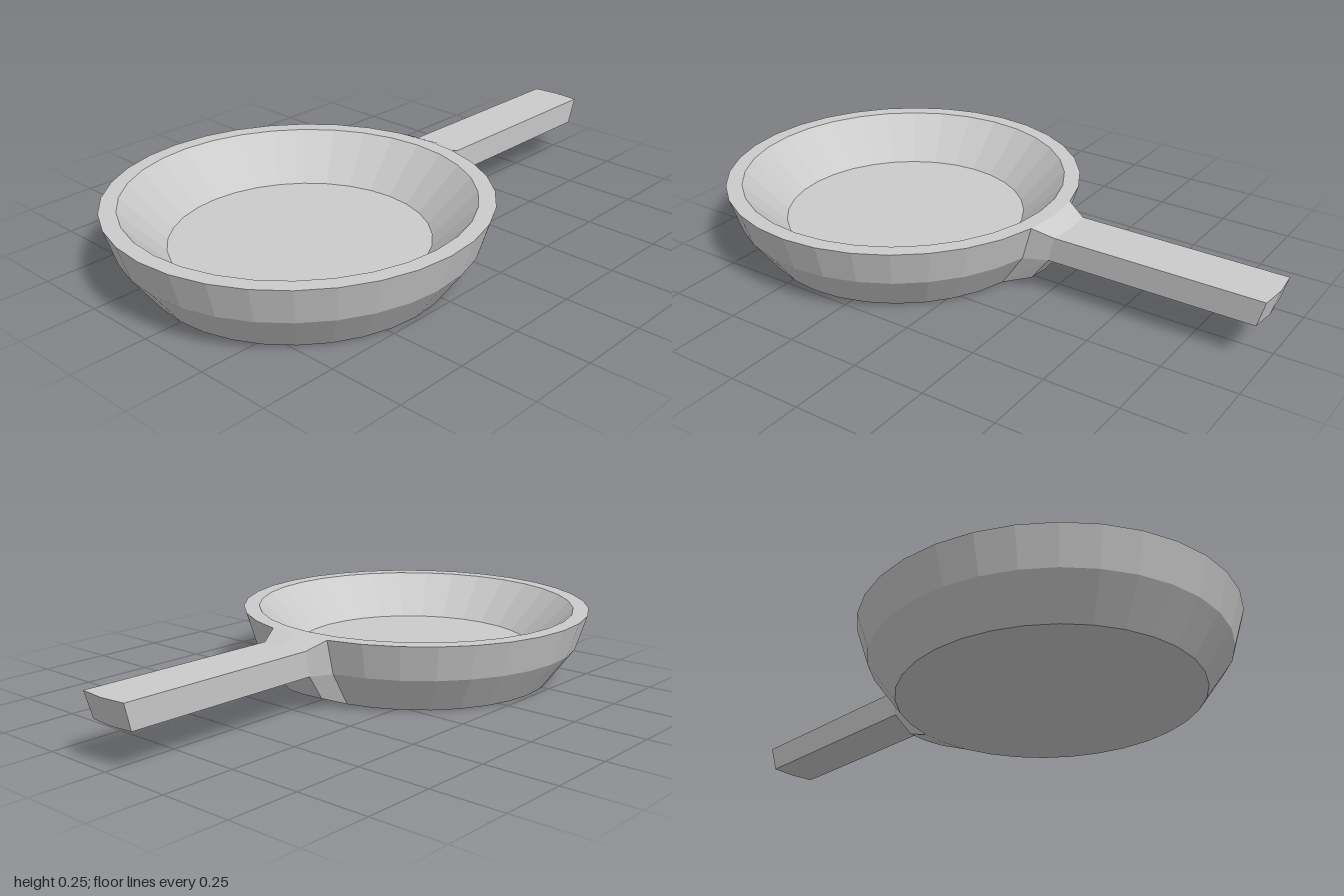
import * as THREE from 'three';

const SIDES = 32;
const CENTRE = -0.388;

// A crosswise row of three points, bowed outwards like the pan's rim.
const row = (x, y, z) => [[x, y, z], [x + z * 0.099, y, 0], [x, y, -z]];

// Closed loop around the rows of one cross-section, from top row to bottom row.
function loop(...rows) {
  const inner = rows.slice(1, -1);
  return [
    ...rows[0],
    ...inner.map(r => r[2]),
    ...[...rows[rows.length - 1]].reverse(),
    ...inner.map(r => r[0]).reverse(),
    rows[0][0],
  ];
}

// Faces between two matching lines of points.
function strip(a, b) {
  const out = [];
  for (let i = 0; i < a.length - 1; i++) {
    out.push(...a[i], ...b[i], ...b[i + 1], ...a[i], ...b[i + 1], ...a[i + 1]);
  }
  return out;
}

function facets(...strips) {
  const geometry = new THREE.BufferGeometry();
  geometry.setAttribute('position', new THREE.Float32BufferAttribute(strips.flat(), 3));
  geometry.computeVertexNormals();
  return geometry;
}

export function createModel() {
  const group = new THREE.Group();
  const material = new THREE.MeshStandardMaterial({ color: 0xcccccc, flatShading: true });
  const add = (name, geometry) => {
    const mesh = new THREE.Mesh(geometry, material);
    mesh.name = name;
    group.add(mesh);
    return mesh;
  };

  // Bowl: base, two-step outer wall, flat rim, sloped inner wall and floor
  const profile = [
    [0, 0], [0.485, 0], [0.575, 0.125], [0.612, 0.246],
    [0.558, 0.246], [0.417, 0.1], [0, 0.1],
  ].map(p => new THREE.Vector2(...p));
  add('pan', new THREE.LatheGeometry(profile, SIDES)).position.x = CENTRE;

  // Flared socket growing out of two wall facets
  const angle = (2 * Math.PI) / SIDES;
  const onWall = (r, y) => row(CENTRE + r * Math.cos(angle), y, r * Math.sin(angle));
  const root = [onWall(0.612, 0.246), onWall(0.575, 0.125), onWall(0.485, 0)];
  const neck = [row(0.28, 0.218, 0.09), row(0.257, 0.129, 0.085), row(0.187, 0.038, 0.072)];
  add('handleSocket', facets(
    strip(loop(...root), loop(...neck)),
    strip(neck[1], neck[2]),
  ));

  // Straight handle with a slanted, slightly bowed end
  const tip = [row(0.991, 0.218, 0.09), row(0.966, 0.129, 0.085)];
  add('handle', facets(
    strip(loop(neck[0], neck[1]), loop(...tip)),
    strip(tip[0], tip[1]),
  ));

  return group;
}
